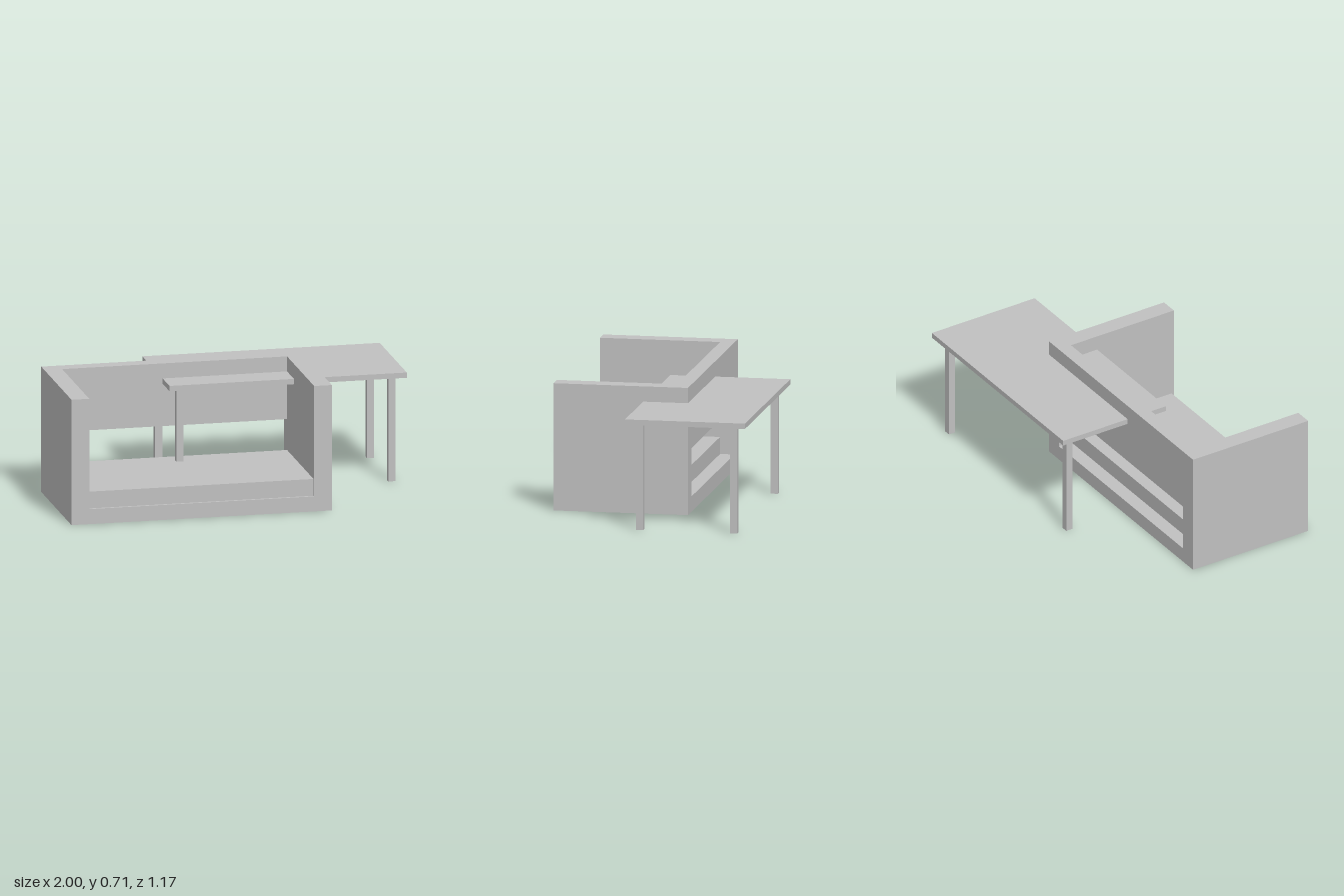
import * as THREE from 'three';

export function createModel() {
  const model = new THREE.Group();
  const grey = new THREE.MeshStandardMaterial({ color: 0xc0c0c0 });
  grey.name = 'light grey';

  // Box given by its extents on each axis
  function box(parent, name, [x0, x1], [y0, y1], [z0, z1]) {
    const mesh = new THREE.Mesh(new THREE.BoxGeometry(x1 - x0, y1 - y0, z1 - z0), grey);
    mesh.position.set((x0 + x1) / 2, (y0 + y1) / 2, (z0 + z1) / 2);
    mesh.name = name;
    parent.add(mesh);
  }

  // Sofa: U-shaped frame of base and arms, raised back panel, seat cushion
  const sofa = new THREE.Group();
  sofa.name = 'sofa';
  const profile = new THREE.Shape([
    [-1, 0], [0.465, 0], [0.465, 0.71], [0.365, 0.71],
    [0.365, 0.085], [-0.9, 0.085], [-0.9, 0.71], [-1, 0.71],
  ].map(([x, y]) => new THREE.Vector2(x, y)));
  const frame = new THREE.Mesh(
    new THREE.ExtrudeGeometry(profile, { depth: 0.75, bevelEnabled: false }), grey);
  frame.position.z = -0.165;
  frame.name = 'sofaFrame';
  sofa.add(frame);
  box(sofa, 'sofaBack', [-0.9, 0.365], [0.355, 0.71], [-0.165, -0.085]);
  box(sofa, 'seatCushion', [-0.9, 0.365], [0.085, 0.18], [-0.085, 0.57]);
  model.add(sofa);

  // Table: thin top on four square legs, passing through the sofa back
  const table = new THREE.Group();
  table.name = 'table';
  box(table, 'tableTop', [-0.335, 1], [0.595, 0.625], [-0.585, 0.085]);
  for (const x of [-0.284, 0.908]) {
    for (const z of [-0.532, -0.006]) {
      box(table, 'tableLeg', [x, x + 0.04], [0, 0.595], [z, z + 0.04]);
    }
  }
  model.add(table);

  return model;
}
